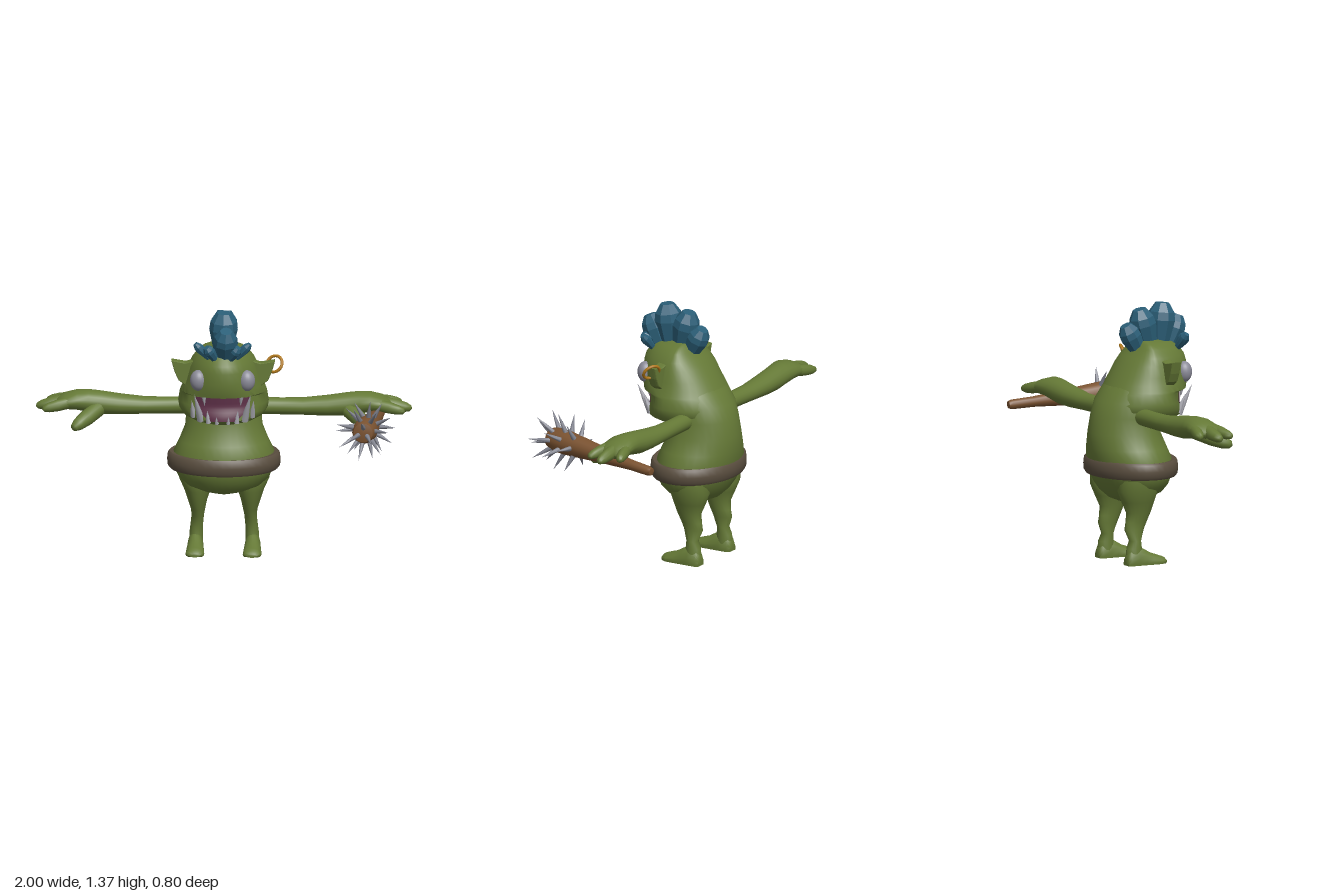
import * as THREE from 'three';
import { toCreasedNormals } from 'three/addons/utils/BufferGeometryUtils.js';

const V = (x, y, z) => new THREE.Vector3(x, y, z);

// Skin through rings {c, a, b, a2}: centre, two radius vectors, optional radius for the back half
function loft(rings, sides = 28, crease = 0.9) {
  const pos = [], idx = [], n = rings.length;
  for (const { c, a, b, a2 } of rings) {
    for (let j = 0; j < sides; j++) {
      const t = (j / sides) * Math.PI * 2, cos = Math.cos(t);
      const p = c.clone().addScaledVector(cos < 0 && a2 ? a2 : a, cos).addScaledVector(b, Math.sin(t));
      pos.push(p.x, Math.max(p.y, 0), p.z);
    }
  }
  for (let i = 0; i < n - 1; i++) {
    for (let j = 0; j < sides; j++) {
      const k = (j + 1) % sides, p = i * sides, q = p + sides;
      idx.push(p + j, p + k, q + j, p + k, q + k, q + j);
    }
  }
  // End caps
  const c0 = rings[0].c, c1 = rings[n - 1].c, last = (n - 1) * sides;
  pos.push(c0.x, Math.max(c0.y, 0), c0.z, c1.x, c1.y, c1.z);
  for (let j = 0; j < sides; j++) {
    const k = (j + 1) % sides;
    idx.push(n * sides, k, j, n * sides + 1, last + j, last + k);
  }
  const g = new THREE.BufferGeometry();
  g.setAttribute('position', new THREE.Float32BufferAttribute(pos, 3));
  g.setIndex(idx);
  return toCreasedNormals(g, crease);
}

// Horizontal sections [y, front z, back z, half width] around the depth zc
const upright = (rows, zc) => loft(rows.map(([y, zf, zb, w]) => ({
  c: V(0, y, zc), a: V(0, 0, zf - zc), a2: V(0, 0, zc - zb), b: V(w, 0, 0),
})), 36);

// Turned shape between two points; profile holds [radius, fraction of length]
function turned(from, to, profile, sides, crease = 0.9) {
  const dir = to.clone().sub(from), len = dir.length();
  const g = new THREE.LatheGeometry(profile.map(([r, t]) => new THREE.Vector2(r, t * len)), sides);
  g.applyQuaternion(new THREE.Quaternion().setFromUnitVectors(V(0, 1, 0), dir.normalize()));
  g.translate(from.x, from.y, from.z);
  g.deleteAttribute('normal');
  g.deleteAttribute('uv');
  return toCreasedNormals(g, crease);
}
const spike = (from, to, r) => turned(from, to, [[0, 0], [r, 0.01], [r * 0.6, 0.5], [0, 1]], 8);
const finger = (from, to, r) => turned(from, to,
  [[0, 0], [r, 0.05], [r, 0.5], [r * 0.8, 0.8], [r * 0.5, 0.95], [0, 1]], 12, 1.2);

const HEAD_Z = -0.06;
const HEAD = [
  [0.752, 0.07, -0.15, 0.11], [0.768, 0.115, -0.22, 0.17], [0.79, 0.14, -0.28, 0.212],
  [0.825, 0.13, -0.31, 0.236], [0.86, 0.115, -0.31, 0.241], [0.914, 0.12, -0.28, 0.232],
  [0.925, 0.172, -0.272, 0.228], [0.96, 0.184, -0.255, 0.213], [1.0, 0.188, -0.228, 0.2],
  [1.06, 0.188, -0.19, 0.183], [1.1, 0.178, -0.155, 0.164], [1.14, 0.15, -0.115, 0.133],
  [1.165, 0.11, -0.095, 0.1], [1.18, 0.05, -0.08, 0.055],
];
// Depth of the face at x, y
function faceZ(x, y) {
  const i = Math.max(1, HEAD.findIndex((r) => r[0] >= y));
  const [p, q] = [HEAD[i - 1], HEAD[i]], t = (y - p[0]) / (q[0] - p[0]);
  const zf = p[1] + (q[1] - p[1]) * t, w = p[3] + (q[3] - p[3]) * t;
  return HEAD_Z + (zf - HEAD_Z) * Math.sqrt(Math.max(0, 1 - (x / w) ** 2));
}

export function createModel() {
  const root = new THREE.Group();
  root.name = 'troll';
  const mat = (name, color) => {
    const m = new THREE.MeshStandardMaterial({ color });
    m.name = name;
    return m;
  };
  const skin = mat('green skin', 0x657936), hair = mat('blue hair', 0x2b5f78);
  const wood = mat('brown wood', 0x7a5230), leather = mat('belt leather', 0x5a4e3f);
  const metal = mat('grey spikes', 0x80828d), ivory = mat('teeth', 0xa8a8b0);
  const eyeGrey = mat('eye grey', 0x8a8a97), gold = mat('earring gold', 0xb0781a);
  const plum = mat('mouth plum', 0x5e3048);
  plum.side = THREE.DoubleSide;
  const add = (name, geo, material) => {
    const m = new THREE.Mesh(geo, material);
    m.name = name;
    root.add(m);
    return m;
  };

  // Torso and head
  add('torso', upright([
    [0.325, -0.1, -0.2, 0.04], [0.345, -0.04, -0.25, 0.12], [0.38, 0.025, -0.285, 0.2],
    [0.42, 0.052, -0.31, 0.242], [0.47, 0.07, -0.335, 0.265], [0.56, 0.07, -0.357, 0.268],
    [0.62, 0.045, -0.366, 0.238], [0.7, 0.01, -0.367, 0.206], [0.79, 0.0, -0.35, 0.198],
    [0.87, 0, -0.323, 0.195], [0.93, 0, -0.275, 0.18], [0.98, 0, -0.235, 0.15],
  ], -0.14), skin);
  add('head', upright(HEAD, HEAD_Z), skin);

  // Belt: a thick rounded band
  const belt = new THREE.LatheGeometry([
    [0.85, 0.475], [0.95, 0.47], [0.99, 0.485], [1, 0.515], [0.985, 0.55], [0.95, 0.56], [0.85, 0.555], [0.85, 0.475],
  ].map(([r, y]) => new THREE.Vector2(r, y)), 40);
  belt.scale(0.302, 1, 0.233).translate(0, 0, -0.131);
  add('belt', toCreasedNormals(belt, 0.9), leather);

  // Mouth lining that follows the jaw
  const mouth = new THREE.PlaneGeometry(2, 1, 20, 8), mp = mouth.attributes.position;
  for (let i = 0; i < mp.count; i++) {
    const v = 0.5 - mp.getY(i), y = 0.913 - 0.125 * v;
    const x = mp.getX(i) * 0.142 * Math.sqrt(1 - 0.8 * v * v);
    mp.setXYZ(i, x, y, faceZ(x, y) + 0.005);
  }
  mouth.computeVertexNormals();
  add('mouth', mouth, plum);

  for (const s of [1, -1]) {
    const side = s > 0 ? 'left' : 'right';

    // Eyes
    const eye = add(side + 'Eye', new THREE.SphereGeometry(1, 24, 16), eyeGrey);
    eye.scale.set(0.045, 0.057, 0.043);
    eye.position.set(s * 0.128, 1.012, 0.122);

    // Teeth: large tusk and smaller ones
    for (const [x, y, z, tx, ty, tz, r] of [
      [0.115, 0.785, 0.095, 0.15, 0.945, 0.16, 0.021], [0.155, 0.8, 0.07, 0.165, 0.9, 0.11, 0.017],
      [0.075, 0.778, 0.125, 0.082, 0.85, 0.135, 0.014], [0.03, 0.775, 0.13, 0.033, 0.815, 0.145, 0.011],
      [0.1, 0.925, 0.125, 0.095, 0.87, 0.12, 0.012],
    ]) add(side + 'Tooth', spike(V(s * x, y, z), V(s * tx, ty, tz), r), ivory);

    // Pointed ear
    const ear = new THREE.Shape([[0.15, 1.09], [0.2, 1.075], [0.272, 1.088], [0.255, 1.03], [0.235, 0.985], [0.18, 0.945]]
      .map(([x, y]) => new THREE.Vector2(s * x, y)));
    add(side + 'Ear', new THREE.ExtrudeGeometry(ear, {
      depth: 0.025, bevelSize: 0.004, bevelThickness: 0.015, bevelSegments: 2,
    }), skin).position.z = -0.02;

    // Arm and palm: [x, y, z, half height, half depth]
    add(side + 'Arm', loft([
      [0.12, 0.8, -0.165, 0.046, 0.046], [0.3, 0.797, -0.165, 0.045, 0.047], [0.42, 0.797, -0.165, 0.046, 0.055],
      [0.55, 0.802, -0.165, 0.055, 0.065], [0.65, 0.81, -0.165, 0.062, 0.068], [0.72, 0.82, -0.163, 0.06, 0.073],
      [0.78, 0.826, -0.16, 0.053, 0.083], [0.84, 0.82, -0.16, 0.043, 0.086], [0.88, 0.812, -0.16, 0.032, 0.078],
      [0.9, 0.81, -0.16, 0.012, 0.05],
    ].map(([x, y, z, h, d]) => ({ c: V(s * x, y, z), a: V(0, h, 0), b: V(0, 0, s * d) })), 20), skin);

    // Fingers and thumb
    for (const [x, y, z, tx, ty, tz, r] of [
      [0.8, 0.825, -0.205, 0.945, 0.8, -0.25, 0.031], [0.82, 0.825, -0.16, 1, 0.79, -0.155, 0.034],
      [0.8, 0.825, -0.115, 0.965, 0.795, -0.068, 0.031], [0.66, 0.79, -0.13, 0.8, 0.715, 0.03, 0.042],
    ]) add(side + 'Finger', finger(V(s * x, y, z), V(s * tx, ty, tz), r), skin);

    // Leg: [y, front z, back z, inner x, outer x]
    add(side + 'Leg', loft([
      [0.03, -0.15, -0.243, 0.113, 0.187], [0.09, -0.153, -0.24, 0.113, 0.185], [0.13, -0.157, -0.222, 0.113, 0.18],
      [0.19, -0.135, -0.248, 0.107, 0.173], [0.23, -0.117, -0.24, 0.1, 0.178], [0.28, -0.096, -0.235, 0.09, 0.193],
      [0.34, -0.075, -0.262, 0.07, 0.213], [0.4, -0.06, -0.285, 0.05, 0.24], [0.46, -0.07, -0.28, 0.06, 0.245],
    ].map(([y, f, b, i, o]) => ({
      c: V(s * (i + o) / 2, y, (f + b) / 2), a: V(0, 0, (f - b) / 2), b: V((o - i) / 2, 0, 0),
    })), 20), skin);

    // Flat-soled foot: [z, height, half width]
    add(side + 'Foot', loft([
      [-0.246, 0.045, 0.028], [-0.23, 0.085, 0.04], [-0.18, 0.105, 0.043], [-0.14, 0.083, 0.045],
      [-0.1, 0.06, 0.048], [-0.05, 0.043, 0.05], [-0.025, 0.034, 0.044], [-0.012, 0.02, 0.028],
    ].map(([z, h, w]) => ({ c: V(s * 0.152, 0.01, z), a: V(w, 0, 0), b: V(0, h - 0.01, 0) })), 20), skin);
  }

  // Earring
  const ring = add('earring', new THREE.TorusGeometry(0.045, 0.008, 10, 28), gold);
  ring.position.set(0.272, 1.07, -0.01);
  ring.quaternion.setFromUnitVectors(V(0, 0, 1), V(-0.4, 0.5, 0.75).normalize());

  // Crystal-like crest, plus two small side tufts
  const tuft = (from, to, r) => add('hairTuft', turned(from, to,
    [[0, 0], [r * 0.6, 0.01], [r, 0.62], [r * 0.92, 0.8], [r * 0.5, 1], [0, 1]], 8, 0.3), hair);
  tuft(V(0.01, 1.11, 0.09), V(0.02, 1.295, 0.168), 0.066);
  tuft(V(0, 1.13, 0.045), V(0.005, 1.37, 0.067), 0.076);
  tuft(V(0, 1.12, -0.015), V(0.005, 1.345, -0.075), 0.073);
  tuft(V(0, 1.1, -0.07), V(0.005, 1.265, -0.16), 0.062);
  for (const s of [1, -1]) {
    tuft(V(s * 0.07, 1.13, 0.11), V(s * 0.145, 1.215, 0.13), 0.026);
    tuft(V(s * 0.04, 1.13, 0.13), V(s * 0.085, 1.205, 0.165), 0.032);
  }

  // Club with rings of spikes
  const butt = V(0.845, 0.737, -0.395), tip = V(0.75, 0.78, 0.32);
  add('club', turned(butt, tip, [
    [0, 0], [0.02, 0.005], [0.026, 0.03], [0.028, 0.2], [0.042, 0.45], [0.055, 0.65],
    [0.066, 0.83], [0.064, 0.94], [0.052, 0.985], [0, 1],
  ], 16), wood);
  const axis = tip.clone().sub(butt).normalize();
  const u = V(0, 1, 0).cross(axis).normalize(), w = axis.clone().cross(u);
  [[0.73, 0.02, 0.15, 6], [0.83, 0.05, 0.16, 7], [0.92, 0.09, 0.145, 7], [0.97, 0.1, 0.07, 3]].forEach(([t, lean, reach, count], row) => {
    for (let i = 0; i < count; i++) {
      const ang = (i / count) * Math.PI * 2 + row * 0.5;
      const out = u.clone().multiplyScalar(Math.cos(ang)).addScaledVector(w, Math.sin(ang));
      const base = butt.clone().lerp(tip, t);
      const end = base.clone().addScaledVector(out, reach).addScaledVector(axis, lean);
      add('clubSpike', spike(base.addScaledVector(out, reach * 0.3), end, 0.015), metal);
    }
  });
  return root;
}
